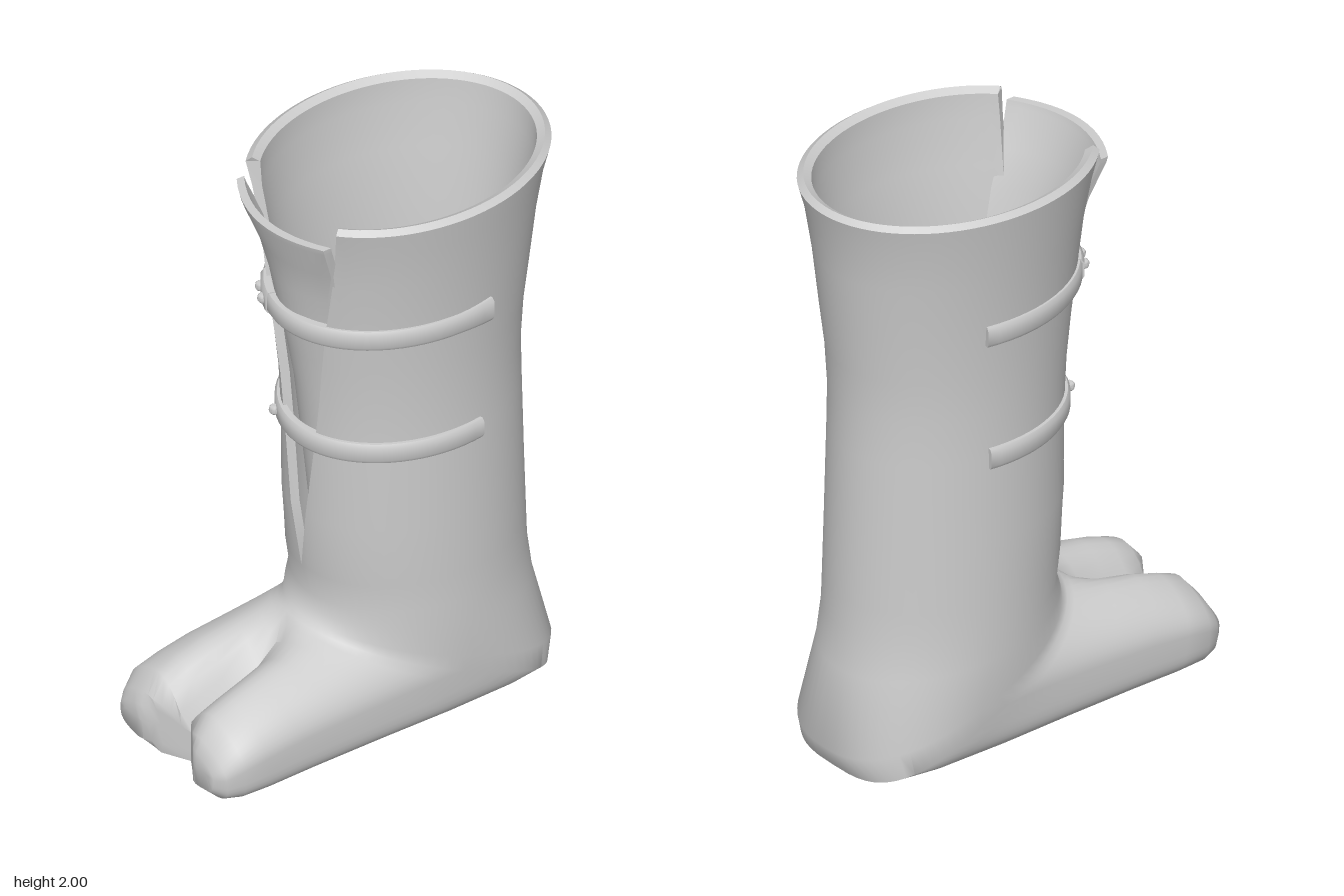
import * as THREE from 'three';
import { mergeGeometries, mergeVertices, toCreasedNormals } from 'three/addons/utils/BufferGeometryUtils.js';

const N = 64;
const material = new THREE.MeshStandardMaterial({ color: 0xcccccc, side: THREE.DoubleSide });

// Surface through rows of points, each row having the same count
function loft(rows) {
  const cols = rows[0].length, index = [];
  for (let i = 0; i < rows.length - 1; i++)
    for (let j = 0; j < cols - 1; j++) {
      const a = i * cols + j, b = a + 1, c = a + cols, d = c + 1;
      index.push(a, c, b, b, c, d);
    }
  const g = new THREE.BufferGeometry();
  g.setAttribute('position', new THREE.Float32BufferAttribute(rows.flat(2), 3));
  g.setIndex(index);
  return g;
}

function addMesh(group, name, geometry, crease = 0.9) {
  const mesh = new THREE.Mesh(toCreasedNormals(mergeVertices(geometry, 1e-5), crease), material);
  mesh.name = name;
  group.add(mesh);
  return mesh;
}

// One tilted ring from front/top point a to back/bottom point b.
// n squares off the sole side, groove splits the toe, slit opens the front.
function ring([ax, ay, bx, by, hz, n = 2, groove = 0, slit = 0]) {
  const pts = [], s = THREE.MathUtils.degToRad(slit);
  for (let j = 0; j <= N; j++) {
    const t = s + (2 * Math.PI - 2 * s) * (j / N);
    const c0 = Math.cos(t), s0 = j === N && !slit ? 0 : Math.sin(t);
    const p = c0 < 0 ? 2 / n : 1;
    const c = Math.sign(c0) * Math.abs(c0) ** p;
    const z = hz * Math.sign(s0) * Math.abs(s0) ** p;
    let x = (ax + bx) / 2 + (ax - bx) / 2 * c;
    let y = (ay + by) / 2 + (ay - by) / 2 * c;
    if (c > 0) y -= groove * c * Math.max(0, 1 - Math.abs(z) / 0.16) ** 2;
    x = Math.max(x, -0.6 - 0.09 * Math.min(1, Math.abs(z) / 0.14)); // V notch of the toe
    pts.push([x, Math.max(0, y), z]);
  }
  return pts;
}

// Shaft levels: y, front x, back x, half width, slit half angle
const shaft = [
  [0.48, -0.17, 0.6, 0.32, 0],
  [0.58, -0.185, 0.597, 0.32, 0],
  [0.8, -0.2, 0.59, 0.32, 7],
  [1.1, -0.205, 0.583, 0.315, 15],
  [1.25, -0.213, 0.58, 0.315, 19],
  [1.4, -0.23, 0.59, 0.323, 23],
  [1.55, -0.25, 0.61, 0.335, 27],
  [1.75, -0.272, 0.632, 0.358, 32],
  [1.9, -0.3, 0.655, 0.383, 35],
  [1.985, -0.326, 0.68, 0.398, 37],
];
const shaftRing = ([y, x0, x1, hz, slit], inset = 0) =>
  ring([x0 + inset, y, x1 - inset, y, hz - inset, 2, 0, slit]);

function bootGeometry() {
  // Foot rings swinging from the toe, under the sole, to the ankle
  const foot = [
    [-0.69, 0.12, -0.69, 0.12, 0.22, 4, 0],
    [-0.69, 0.19, -0.69, 0.05, 0.245, 4, 0.08],
    [-0.67, 0.23, -0.65, 0.012, 0.275, 4, 0.13],
    [-0.62, 0.29, -0.6, 0.01, 0.3, 4.5, 0.16],
    [-0.55, 0.32, -0.5, 0.01, 0.303, 5, 0.16],
    [-0.46, 0.35, -0.32, 0.01, 0.303, 5, 0.15],
    [-0.35, 0.37, -0.05, 0.008, 0.303, 5, 0.11],
    [-0.28, 0.385, 0.22, 0.005, 0.305, 5, 0.06],
    [-0.24, 0.395, 0.48, 0.002, 0.31, 4.2, 0.02],
    [-0.22, 0.4, 0.63, 0, 0.315, 3.2],
    [-0.2, 0.41, 0.67, 0.08, 0.32, 2.5],
    [-0.185, 0.44, 0.615, 0.34, 0.322, 2.1],
  ].map(ring);
  const outer = shaft.map(l => shaftRing(l));
  const inner = shaft.map(l => shaftRing(l, l[0] > 1.95 ? 0.045 : 0.03));
  const [, x0, x1, hz] = shaft[shaft.length - 1];
  const rim = shaftRing([2, x0, x1, hz, 37], 0.02);
  const floor = [[-0.1, 0.13, 0.54, 0.13, 0.26], [0.2, 0.12, 0.2, 0.12, 0.25]].map(r => ring(r));
  const parts = [loft([...foot, ...outer, rim, ...inner.slice().reverse(), ...floor])];
  // Close the wall along both edges of the slit
  for (const k of [0, N]) parts.push(loft(outer.map((r, i) => [r[k], inner[i][k]])));
  return mergeGeometries(parts);
}

// Tongue levels: y, centre x, half width, how far the edges sweep back
function tongueGeometry() {
  const levels = [
    [1.94, -0.34, 0.23, 0.075], [1.92, -0.335, 0.228, 0.075], [1.8, -0.29, 0.2, 0.075],
    [1.68, -0.262, 0.19, 0.09], [1.55, -0.24, 0.18, 0.1], [1.4, -0.208, 0.17, 0.1],
    [1.25, -0.18, 0.16, 0.09], [0.9, -0.14, 0.15, 0.08], [0.5, -0.1, 0.14, 0.08],
  ];
  const M = 12;
  const section = ([y, x, w, sag], thick) => {
    const side = dx => Array.from({ length: M + 1 }, (_, i) => {
      const u = i / M * 2 - 1;
      return [x + sag * u * u + dx, y, w * u];
    });
    const front = side(0), back = side(thick).reverse();
    return [...front, ...back, front[0]];
  };
  const rows = levels.map(l => section(l, 0.028));
  return loft([section(levels[0], 0), ...rows, section(levels[levels.length - 1], 0)]);
}

// Point on the shaft at a strap: angle t from the front, pushed out by d
const strapPoint = (s, t, d, dy) => [
  s.cx - (s.rx + d) * Math.cos(t), s.y + dy, (s.rz + d) * Math.sin(t),
];

// Flat strap with a softly rounded face, wrapped from t0 to t1
function strapGeometry(s, t0, t1, h, out, flare = 0) {
  const profile = [[-0.01, -1], [out * 0.6, -1], [out, -0.65], [out, 0.65], [out * 0.6, 1], [-0.01, 1], [-0.01, -1]];
  const rows = [], K = 40;
  for (let i = 0; i <= K; i++) {
    const u = i / K, t = t0 + (t1 - t0) * u;
    const k = 1 + flare * Math.max(0, (u - 0.93) / 0.07);
    const row = profile.map(([d, v]) => strapPoint(s, t, d * k, v * h * k));
    const cap = row.map(() => strapPoint(s, t, 0, 0));
    if (i === 0) rows.push(cap);
    rows.push(row);
    if (i === K) rows.push(cap);
  }
  return loft(rows);
}

export function createModel() {
  const model = new THREE.Group();
  model.name = 'boot';
  addMesh(model, 'bootShell', bootGeometry());
  addMesh(model, 'tongue', tongueGeometry());

  const straps = [
    { name: 'upperStrap', y: 1.55, cx: 0.18, rx: 0.43, rz: 0.335, end: 1.83, flare: 0.2, rivets: [-0.33, -0.5] },
    { name: 'lowerStrap', y: 1.1, cx: 0.189, rx: 0.394, rz: 0.315, end: 1.77, flare: 0, rivets: [-0.38] },
  ];
  for (const s of straps) {
    const group = new THREE.Group();
    group.name = s.name;
    model.add(group);
    addMesh(group, 'band', strapGeometry(s, -s.end, s.end, 0.035, 0.018, s.flare));
    if (s.rivets.length > 1) addMesh(group, 'fasteningTab', strapGeometry(s, -0.6, -0.24, 0.038, 0.023));
    // Rivets beside the slit
    for (const t of s.rivets) {
      const rivet = addMesh(group, 'rivet', new THREE.SphereGeometry(0.018, 12, 8));
      rivet.position.set(...strapPoint(s, t, 0.022, 0));
    }
  }
  return model;
}
